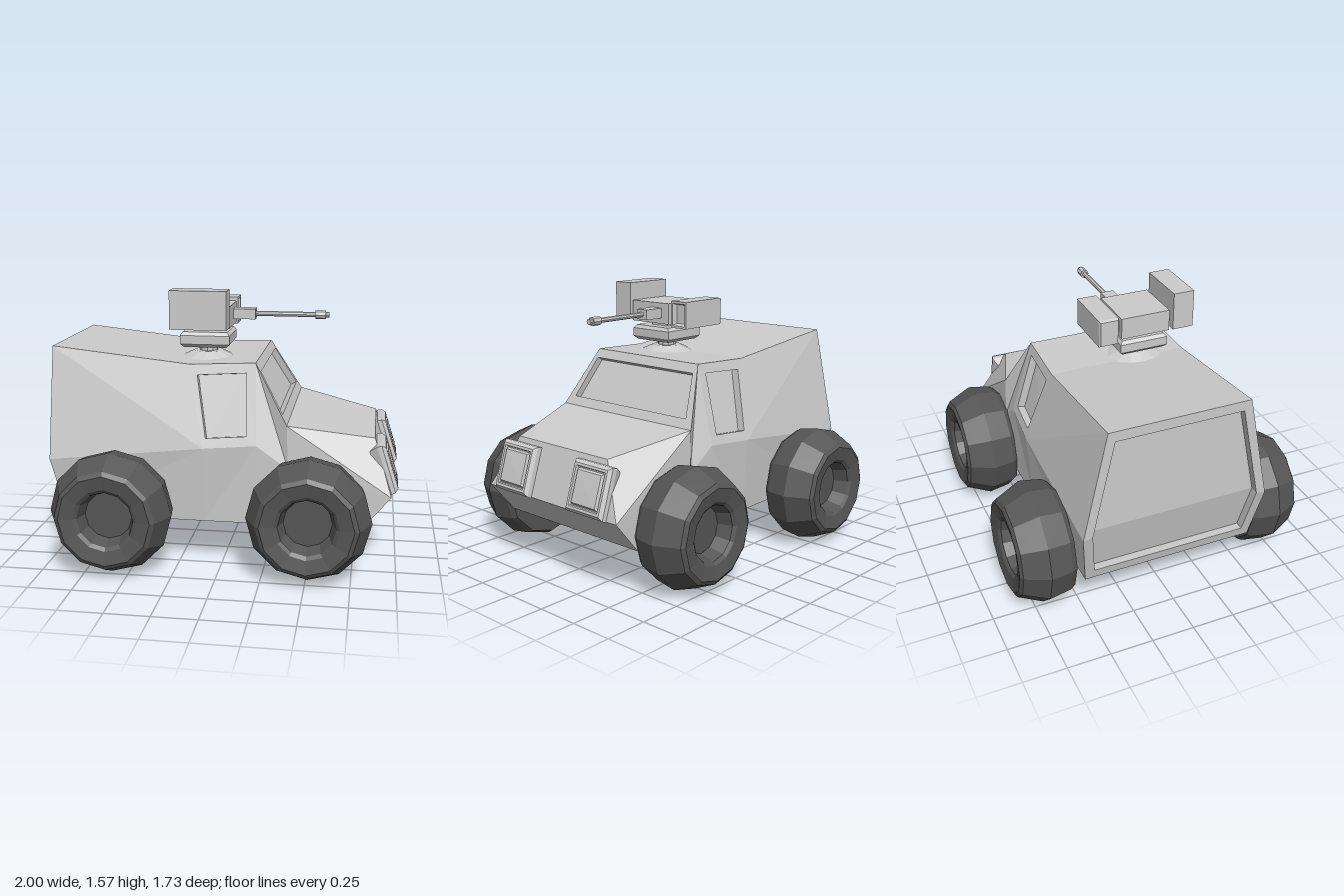
import * as THREE from 'three';

const grey = new THREE.MeshStandardMaterial({ color: 0xcccccc, flatShading: true });
const rubber = new THREE.MeshStandardMaterial({ color: 0x555555, flatShading: true });

const add = (parent, name, geometry, material, x = 0, y = 0, z = 0) => {
  const mesh = new THREE.Mesh(geometry, material);
  mesh.name = name;
  mesh.position.set(x, y, z);
  parent.add(mesh);
  return mesh;
};
const lathe = (points, sides) =>
  new THREE.LatheGeometry(points.map(([r, y]) => new THREE.Vector2(r, y)), sides);

// Box given by its minimum and maximum corners
const box = (parent, name, [x0, y0, z0], [x1, y1, z1]) =>
  add(parent, name, new THREE.BoxGeometry(x1 - x0, y1 - y0, z1 - z0), grey,
    (x0 + x1) / 2, (y0 + y1) / 2, (z0 + z1) / 2);

// Polygon helpers: every face is a list of triangles of [x, y, z] corners
const quad = (a, b, c, d) => [a, b, c, a, c, d];
const mirror = ([x, y, z]) => [x, y, -z];
const mix = (a, b, t) => a.map((v, i) => v + (b[i] - v) * t);

// Frame around a sunken panel
function recess(outer, inner, [dx, dy, dz]) {
  const deep = inner.map(([x, y, z]) => [x + dx, y + dy, z + dz]);
  const out = [];
  outer.forEach((p, i) => {
    const j = (i + 1) % outer.length;
    out.push(...quad(p, outer[j], inner[j], inner[i]));
    out.push(...quad(inner[i], inner[j], deep[j], deep[i]));
  });
  if (deep.length === 4) out.push(...quad(...deep));
  else out.push(...quad(deep[0], deep[1], deep[2], deep[5]), ...quad(deep[5], deep[2], deep[3], deep[4]));
  return out;
}

function hullGeometry() {
  // Stations from rear to nose: upper edge, belt line and floor edge of the left half
  const T = [[-1, 1.25, 0.41], [-0.2, 1.165, 0.41], [0.18, 1.18, 0.4], [0.37, 0.85, 0.515], [0.86, 0.76, 0.36]];
  const B = [[-1, 0.61, 0.55], [-0.1, 0.71, 0.55], [0.2, 0.73, 0.525], [0.38, 0.6, 0.52], [0.96, 0.46, 0.52]];
  const L = [[-0.92, 0.27, 0.51], [-0.1, 0.27, 0.52], [0.2, 0.27, 0.52], [0.38, 0.27, 0.52], [0.8, 0.27, 0.52]];
  const side = [], centre = [];
  for (let i = 0; i < 4; i++) {
    const j = i + 1;
    side.push(...quad(L[i], L[j], B[j], B[i]));
    if (i === 1) {
      // Door window
      const at = (u, v) => mix(mix(B[i], B[j], u), mix(T[i], T[j], u), v);
      side.push(...recess([B[i], B[j], T[j], T[i]],
        [at(0.08, 0.12), at(0.83, 0.12), at(0.86, 0.88), at(0.1, 0.87)], [0, -0.01, -0.045]));
    } else side.push(...quad(B[j], T[j], T[i], B[i]));
    const top = [T[i], T[j], mirror(T[j]), mirror(T[i])];
    if (i === 2) {
      // Windscreen
      const a = [0.341, 0.9, 0.45], b = [0.209, 1.13, 0.385];
      const ring = [T[3], mirror(T[3]), mirror(T[2]), T[2]];
      centre.push(...recess(ring, [a, mirror(a), mirror(b), b], [-0.035, -0.02, 0]));
    } else centre.push(...quad(...top));
    centre.push(...quad(L[j], L[i], mirror(L[i]), mirror(L[j])));
  }
  // Nose
  centre.push(...quad(B[4], mirror(B[4]), mirror(T[4]), T[4]));
  centre.push(...quad(L[4], mirror(L[4]), mirror(B[4]), B[4]));
  // Rear door
  const loop = (l, b, t) => [mirror(l), l, b, t, mirror(t), mirror(b)];
  centre.push(...recess(loop(L[0], B[0], T[0]),
    loop([-0.934, 0.33, 0.46], [-1, 0.62, 0.495], [-1, 1.19, 0.37]), [0.05, 0, 0]));
  // Right half of the sides, with the corner order reversed
  const right = side.map(mirror).reverse();
  const geometry = new THREE.BufferGeometry();
  geometry.setAttribute('position',
    new THREE.Float32BufferAttribute([...side, ...right, ...centre].flat(), 3));
  geometry.computeVertexNormals();
  return geometry;
}

function addWheels(group) {
  const tyre = lathe([[0, 0], [0.31, 0], [0.33, 0.03], [0.35, 0.16], [0.285, 0.3], [0.26, 0.315],
    [0.18, 0.3], [0.16, 0.285], [0.135, 0.2], [0, 0.2]], 12).rotateX(Math.PI / 2);
  for (const [name, x, z] of [['rearWheel', -0.6, 0.55], ['frontWheel', 0.51, 0.515]]) {
    for (const s of [1, -1]) {
      const wheel = add(group, name, tyre, rubber, x, 0.36, s * z);
      if (s < 0) wheel.rotation.y = Math.PI;
    }
  }
}

function addHeadlights(group) {
  // Four-sided housing with a rim and a raised lens, leaning back with the nose
  const k = Math.SQRT2;
  const shape = lathe([[0.125, -0.03], [0.145, 0.02], [0.142, 0.045], [0.125, 0.065], [0.11, 0.065],
    [0.106, 0.05], [0.1, 0.05], [0.09, 0.068], [0, 0.07]].map(([r, y]) => [r * k, y]), 4)
    .rotateY(Math.PI / 4).rotateZ(-Math.PI / 2);
  for (const s of [1, -1]) {
    const lamp = add(group, 'headlight', shape, grey, 0.898, 0.587, s * 0.3);
    lamp.rotation.z = 0.31;
  }
}

function addTurret(group) {
  const turret = new THREE.Group();
  turret.name = 'turret';
  group.add(turret);
  const x = -0.135, z = 0.125;
  add(turret, 'mountBase', new THREE.CylinderGeometry(0.085, 0.18, 0.045, 12), grey, x, 1.18, z);
  add(turret, 'mountPost', new THREE.CylinderGeometry(0.055, 0.055, 0.1, 10), grey, x, 1.21, z);
  // Chamfered square turntable
  const k = Math.SQRT2;
  add(turret, 'turntable', lathe([[0, -0.045], [0.125 * k, -0.045], [0.145 * k, -0.025],
    [0.145 * k, 0.025], [0.13 * k, 0.045], [0, 0.045]], 4).rotateY(Math.PI / 4), grey, x, 1.28, z);
  box(turret, 'neck', [-0.2, 1.31, 0.06], [-0.07, 1.36, 0.19]);
  box(turret, 'gunHousing', [-0.29, 1.35, -0.02], [0.01, 1.475, 0.275]);
  // Ammunition box and its bracket
  box(turret, 'ammoBracket', [-0.25, 1.39, 0.27], [-0.02, 1.44, 0.3]);
  box(turret, 'ammoBox', [-0.31, 1.36, 0.29], [0.015, 1.58, 0.415]);
  // Sight with a sunken front
  box(turret, 'sightBracket', [-0.25, 1.38, -0.05], [-0.02, 1.45, -0.01]);
  const sight = lathe([[0, -0.165], [0.072, -0.165], [0.08, -0.15], [0.08, 0.165], [0.066, 0.165],
    [0.056, 0.13], [0, 0.13]].map(([r, y]) => [r * k, y]), 4).rotateY(Math.PI / 4).rotateZ(-Math.PI / 2);
  add(turret, 'sight', sight, grey, -0.15, 1.415, -0.105).scale.z = 0.73;
  // Gun
  box(turret, 'gunReceiver', [0, 1.385, 0.035], [0.14, 1.445, 0.115]);
  const rod = (name, r, x0, x1) => add(turret, name,
    new THREE.CylinderGeometry(r, r, x1 - x0, 8).rotateZ(Math.PI / 2), grey, (x0 + x1) / 2, 1.415, 0.075);
  rod('barrel', 0.015, 0.13, 0.5);
  rod('muzzle', 0.026, 0.49, 0.55);
  rod('muzzleTip', 0.017, 0.55, 0.57);
}

export function createModel() {
  const group = new THREE.Group();
  group.name = 'armouredCar';
  add(group, 'hull', hullGeometry(), grey);
  addWheels(group);
  addHeadlights(group);
  addTurret(group);
  return group;
}
